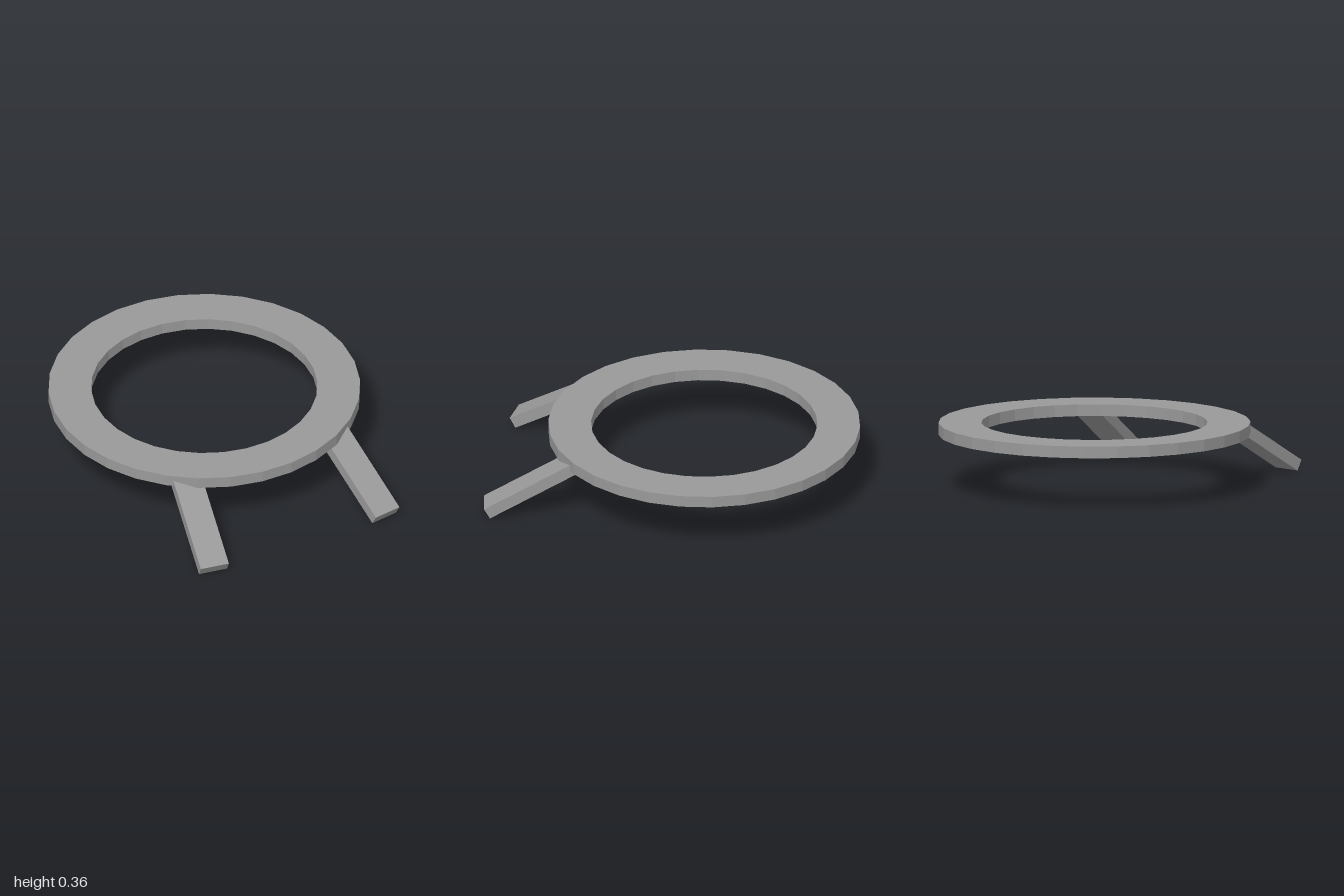
import * as THREE from 'three';

const SIDES = 30;

// Regular polygon outline with a corner on the x axis
function polygon(radius) {
  return Array.from({ length: SIDES }, (_, i) => {
    const a = (i / SIDES) * Math.PI * 2;
    return new THREE.Vector2(Math.cos(a) * radius, Math.sin(a) * radius);
  });
}

export function createModel() {
  const model = new THREE.Group();
  model.name = 'ringWithLegs';
  const grey = new THREE.MeshStandardMaterial({ color: 0x999999 });
  grey.name = 'plain grey';
  grey.flatShading = true;

  // Flat faceted ring
  const thickness = 0.065;
  const shape = new THREE.Shape(polygon(0.855));
  shape.holes.push(new THREE.Path(polygon(0.62)));
  const ringGeometry = new THREE.ExtrudeGeometry(shape, { depth: thickness, bevelEnabled: false });
  ringGeometry.rotateX(-Math.PI / 2);
  const ring = new THREE.Mesh(ringGeometry, grey);
  ring.name = 'ring';
  ring.position.set(0, 0.295, -0.15);
  model.add(ring);

  // Two splayed legs, sloping down to the front; origin at the top edge of the foot
  const length = 0.607;
  for (const side of [1, -1]) {
    const geometry = new THREE.BoxGeometry(0.162, thickness, length);
    geometry.translate(0, -thickness / 2, -length / 2);
    geometry.rotateX(Math.PI / 6);
    geometry.rotateY(side * THREE.MathUtils.degToRad(9.2));
    const leg = new THREE.Mesh(geometry, grey);
    leg.name = side > 0 ? 'leftLeg' : 'rightLeg';
    leg.position.set(side * 0.535, 0.0563, 0.987);
    model.add(leg);
  }
  return model;
}
